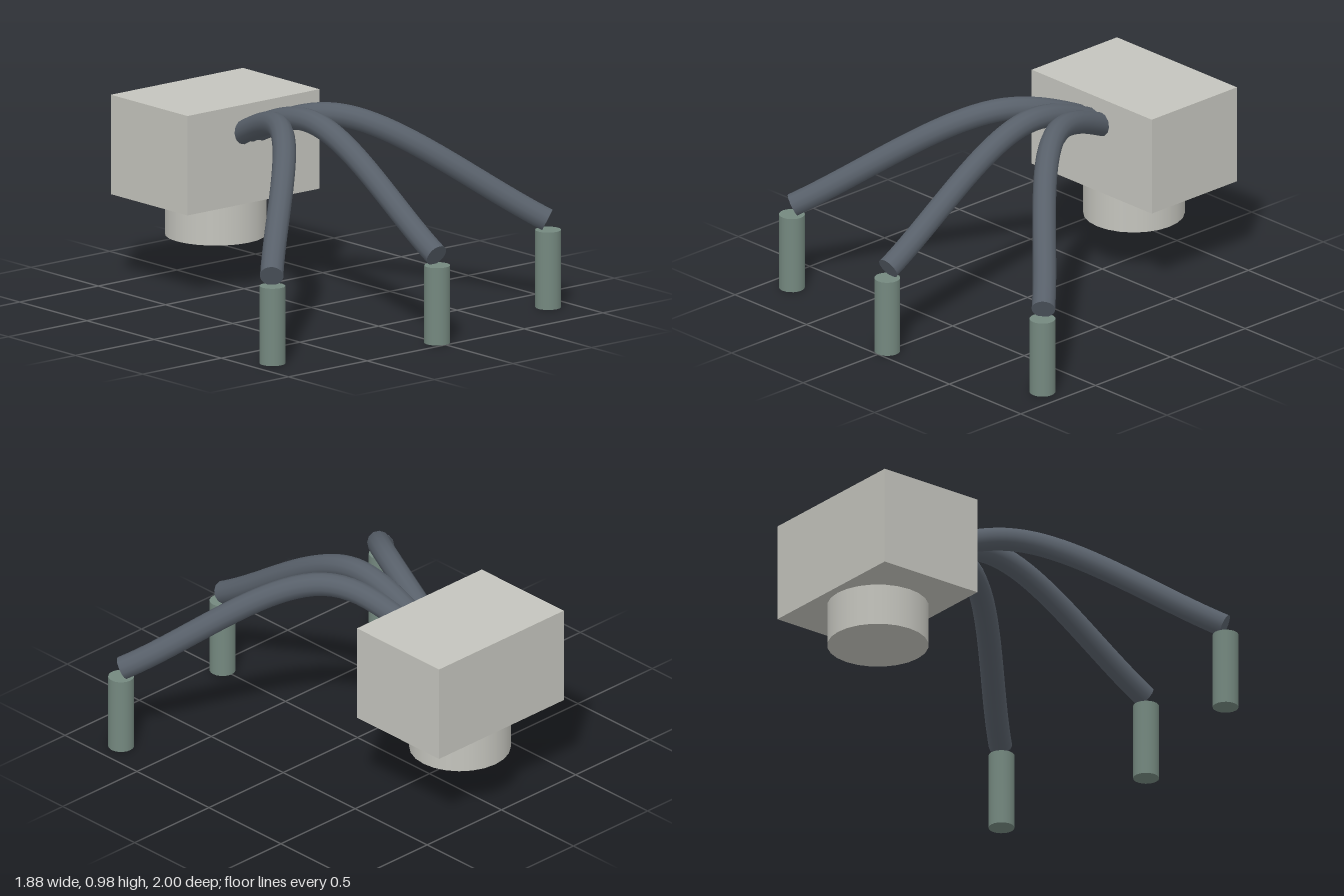
import * as THREE from 'three';

export function createModel() {
  const model = new THREE.Group();
  const paleGrey = new THREE.MeshStandardMaterial({ name: 'pale grey', color: 0xc4c4bd });
  const slate = new THREE.MeshStandardMaterial({ name: 'slate', color: 0x58606a });
  const greyGreen = new THREE.MeshStandardMaterial({ name: 'grey green', color: 0x74887f });

  const add = (name, geometry, material, x, y, z, parent = model) => {
    const mesh = new THREE.Mesh(geometry, material);
    mesh.name = name;
    mesh.position.set(x, y, z);
    parent.add(mesh);
    return mesh;
  };

  // Main housing with a round pedestal below
  add('body', new THREE.BoxGeometry(0.84, 0.495, 0.57), paleGrey, 0, 0.692, -0.715);
  add('base', new THREE.CylinderGeometry(0.246, 0.246, 0.21, 24), paleGrey, 0, 0.34, -0.712);

  // Bent pipe from the housing down to a foot
  const radius = 0.057;
  const addLeg = (name, midX, endX, endZ) => {
    const leg = new THREE.Group();
    leg.name = name;
    model.add(leg);
    const path = new THREE.CatmullRomCurve3([
      new THREE.Vector3(0, 0.68, -0.715),
      new THREE.Vector3(midX, 0.925, 0),
      new THREE.Vector3(endX, 0.432, endZ - 0.006),
    ]);
    add('pipe', new THREE.TubeGeometry(path, 40, radius, 12), slate, 0, 0, 0, leg);

    // Flat cap over the open end
    const end = path.getPoint(1);
    const cap = add('pipeEnd', new THREE.CircleGeometry(radius, 24), slate, end.x, end.y, end.z, leg);
    cap.quaternion.setFromUnitVectors(new THREE.Vector3(0, 0, 1), path.getTangent(1));

    add('foot', new THREE.CylinderGeometry(0.063, 0.063, 0.385, 20), greyGreen, endX, 0.1925, endZ, leg);
  };
  addLeg('middleLeg', 0, 0, 0.937);
  addLeg('leftLeg', 0.2, 0.877, 0.737);
  addLeg('rightLeg', -0.2, -0.877, 0.737);

  return model;
}
